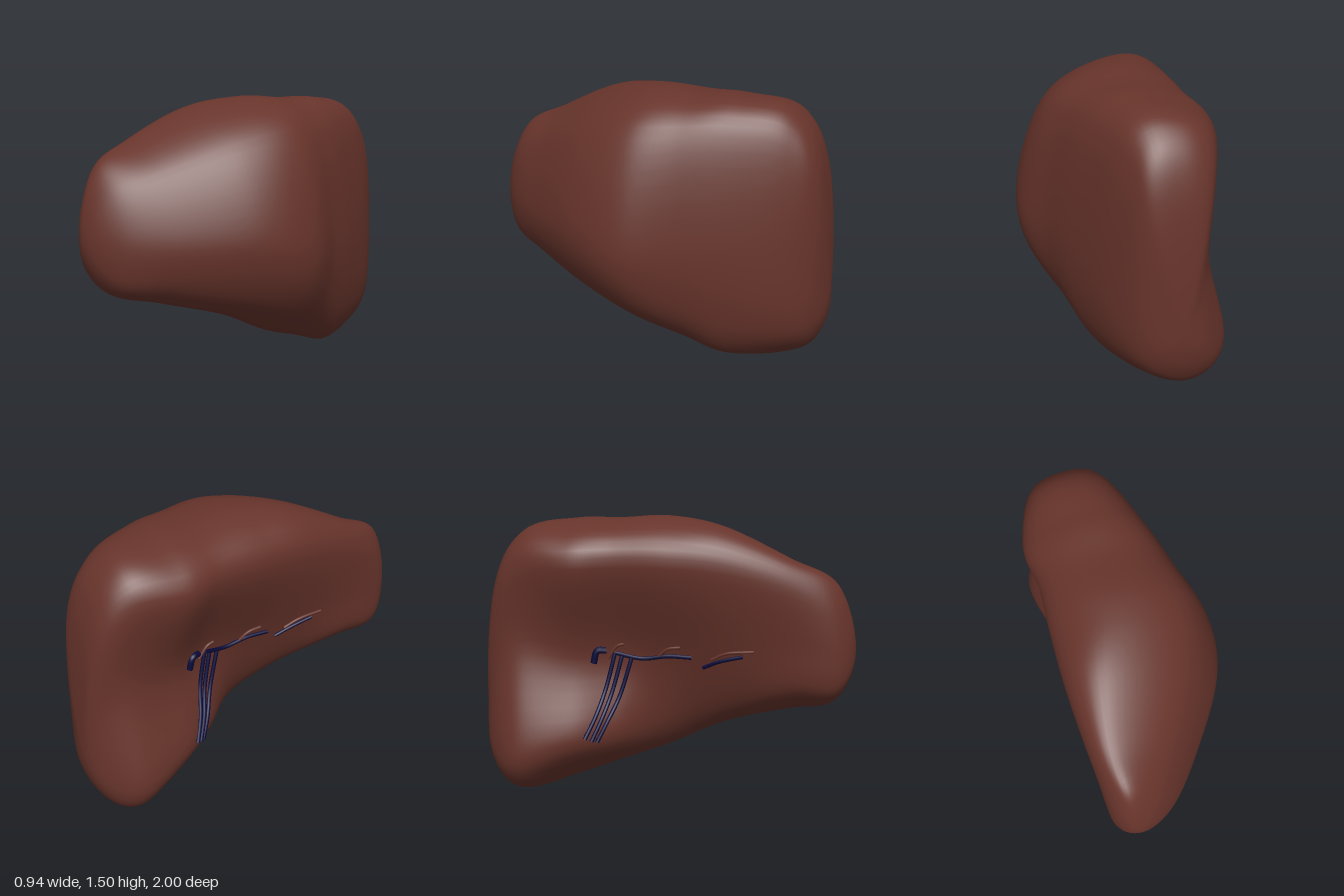
import * as THREE from 'three';
import { mergeVertices } from 'three/addons/utils/BufferGeometryUtils.js';

// Cross-sections from back to front: [z, then x,y of eight points clockwise from the top]
const SECTIONS = [
  [-1.0, -0.17, 0.44], // back pole
  [-0.94, -0.15, 1.13, -0.01, 1.06, 0.02, 0.65, -0.01, 0.27, -0.18, 0.13, -0.34, 0.23, -0.29, 0.65, -0.28, 1.02],
  [-0.78, -0.18, 1.42, 0.06, 1.32, 0.15, 0.75, 0.1, 0.21, -0.22, 0.005, -0.46, 0.21, -0.34, 0.78, -0.37, 1.27],
  [-0.5, -0.15, 1.48, 0.16, 1.37, 0.28, 0.75, 0.22, 0.23, -0.01, 0.035, -0.41, 0.27, -0.3, 0.75, -0.45, 1.29],
  [-0.27, -0.14, 1.485, 0.23, 1.36, 0.365, 0.75, 0.29, 0.3, 0.04, 0.11, -0.29, 0.3, -0.24, 0.75, -0.42, 1.3],
  [0.0, -0.13, 1.5, 0.29, 1.34, 0.47, 0.75, 0.37, 0.38, 0.09, 0.2, -0.11, 0.33, -0.24, 0.76, -0.42, 1.3],
  [0.3, -0.2, 1.45, 0.22, 1.28, 0.41, 0.8, 0.31, 0.46, 0.08, 0.34, -0.14, 0.43, -0.29, 0.78, -0.41, 1.27],
  [0.65, -0.25, 1.29, 0.05, 1.15, 0.2, 0.8, 0.14, 0.54, -0.05, 0.445, -0.28, 0.57, -0.34, 0.83, -0.37, 1.17],
  [0.9, -0.23, 1.15, -0.08, 1.03, 0.0, 0.8, -0.03, 0.59, -0.16, 0.525, -0.3, 0.6, -0.33, 0.8, -0.31, 1.03],
  [1.0, -0.2, 0.8], // front pole
];
const LAST = SECTIONS.length - 1;

// Smooth curve through b and c
function spline(a, b, c, d, t) {
  const v0 = (c - a) / 2, v1 = (d - b) / 2;
  return (2 * b - 2 * c + v0 + v1) * t ** 3 + (3 * c - 3 * b - 2 * v0 - v1) * t * t + v0 * t + b;
}
const blend = (p, t) => new THREE.Vector3(
  ...['x', 'y', 'z'].map((k) => spline(p[0][k], p[1][k], p[2][k], p[3][k], t)));

// Point on one section; beyond a pole the surface carries on over the far side
function onSection(row, u) {
  if (row < 0) return onSection(-row, u + 4);
  if (row > LAST) return onSection(2 * LAST - row, u + 4);
  const s = SECTIONS[row];
  if (s.length === 3) return new THREE.Vector3(s[1], s[2], s[0]);
  const i = Math.floor(u);
  const pts = [-1, 0, 1, 2].map((k) => {
    const j = (i + k + 16) % 8;
    return new THREE.Vector3(s[1 + 2 * j], s[2 + 2 * j], s[0]);
  });
  return blend(pts, u - i);
}

// u runs around the organ (0 to 8), v from back to front
function surfacePoint(u, v) {
  const row = Math.min(Math.floor(v), LAST - 1);
  return blend([-1, 0, 1, 2].map((k) => onSection(row + k, u)), v - row);
}

function bodyGeometry(around = 64, along = 90) {
  const pos = [], index = [];
  for (let j = 0; j <= along; j++) {
    for (let i = 0; i < around; i++) {
      pos.push(...surfacePoint((i / around) * 8, (j / along) * LAST).toArray());
    }
  }
  for (let j = 0; j < along; j++) {
    for (let i = 0; i < around; i++) {
      const a = j * around + i, b = j * around + ((i + 1) % around);
      const c = a + around, d = b + around;
      if (j > 0) index.push(a, c, b);
      if (j < along - 1) index.push(b, c, d);
    }
  }
  const geo = new THREE.BufferGeometry();
  geo.setAttribute('position', new THREE.Float32BufferAttribute(pos, 3));
  geo.setIndex(index);
  const merged = mergeVertices(geo, 1e-5);
  merged.computeVertexNormals();
  return merged;
}

// Vessel lying on the hollow side, along a path of [u, v] pairs
function vessel(name, path, radius, material) {
  const pts = path.map(([u, v]) => surfacePoint(u, v).add(new THREE.Vector3(-0.006, 0, 0.004)));
  const geo = new THREE.TubeGeometry(new THREE.CatmullRomCurve3(pts), 28, radius, 8);
  const mesh = new THREE.Mesh(geo, material);
  mesh.name = name;
  return mesh;
}

export function createModel() {
  const tissue = new THREE.MeshStandardMaterial({ color: 0x67342b });
  tissue.name = 'brown tissue';
  const navy = new THREE.MeshStandardMaterial({ color: 0x080838 });
  navy.name = 'navy vein';

  const model = new THREE.Group();
  model.name = 'liver';
  const body = new THREE.Mesh(bodyGeometry(), tissue);
  body.name = 'lobes';
  model.add(body);

  // Veins running down the rear lobe
  const veins = new THREE.Group();
  veins.name = 'veins';
  [
    [[6.05, 3.95], [5.68, 3.75], [5.4, 3.55], [5.13, 3.3]],
    [[6.02, 4.1], [5.62, 3.88], [5.35, 3.68], [5.08, 3.45]],
    [[6.0, 4.3], [5.58, 4.05], [5.3, 3.8], [5.05, 3.57]],
  ].forEach((path) => veins.add(vessel('descendingVein', path, 0.011, navy)));

  // Veins along the underside of the front lobe, and the stub at their root
  veins.add(vessel('forwardVein', [[6.05, 3.95], [5.98, 4.5], [6.0, 5.0], [5.98, 5.45]], 0.011, navy));
  veins.add(vessel('forwardVeinTip', [[5.85, 5.65], [5.92, 5.95], [5.95, 6.3]], 0.01, navy));
  veins.add(vessel('veinRoot', [[5.95, 3.45], [6.08, 3.55], [6.08, 3.75]], 0.018, navy));
  model.add(veins);

  // Small ducts branching above the veins
  const ducts = new THREE.Group();
  ducts.name = 'ducts';
  [
    [[6.0, 3.8], [6.12, 4.0], [6.14, 4.15]],
    [[5.98, 4.8], [6.08, 5.0], [6.1, 5.25]],
    [[5.95, 5.8], [6.02, 6.05], [6.0, 6.45]],
  ].forEach((path) => ducts.add(vessel('duct', path, 0.008, tissue)));
  model.add(ducts);
  return model;
}
